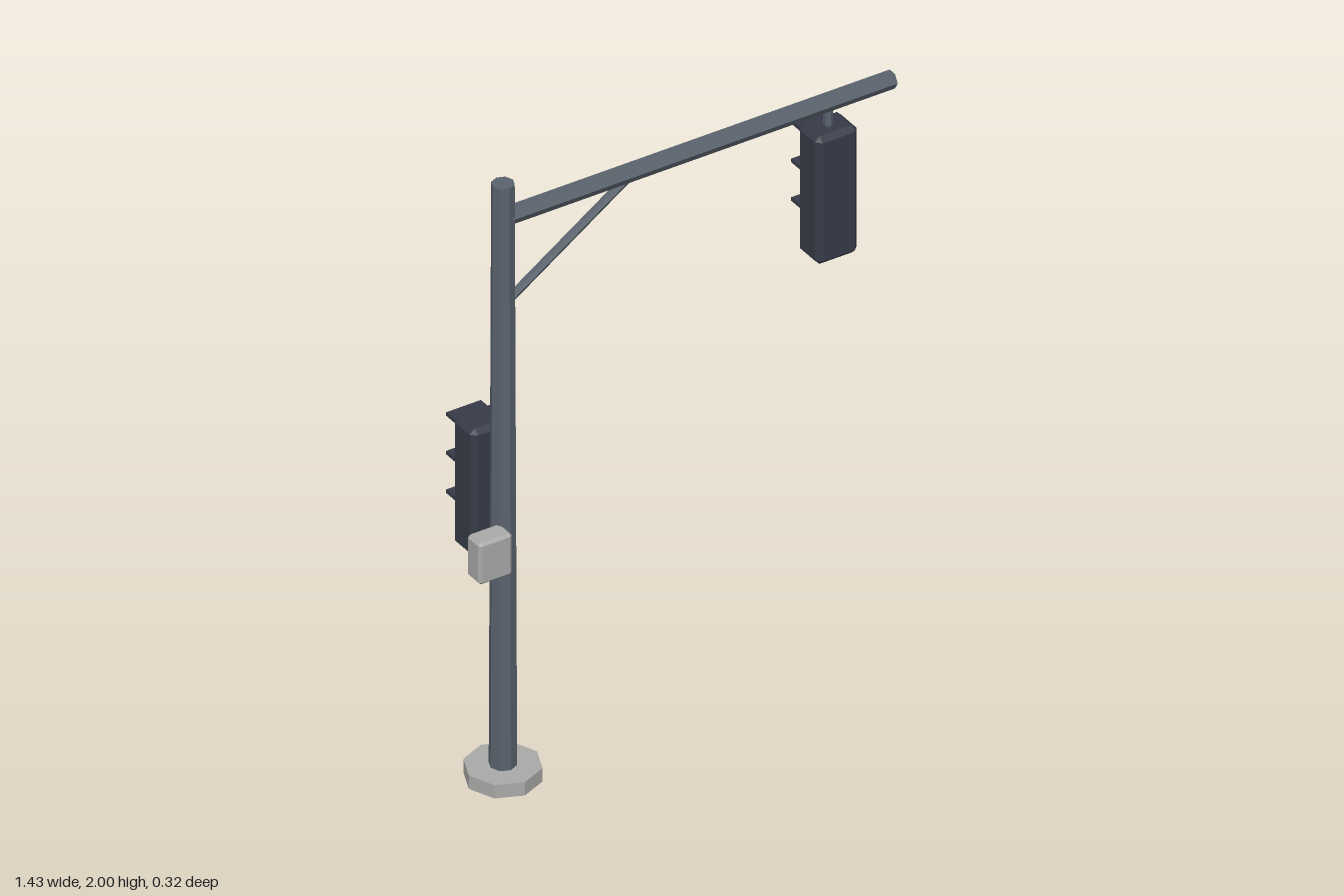
import * as THREE from 'three';
import { ConvexGeometry } from 'three/addons/geometries/ConvexGeometry.js';

const POLE_X = -0.59, POLE_Z = 0.042;

function material(name, color) {
  const m = new THREE.MeshStandardMaterial({ color, flatShading: true });
  m.name = name;
  return m;
}

// Box with every edge and corner chamfered by b
function chamferBox(w, h, d, b) {
  const points = [];
  for (const sx of [-1, 1]) for (const sy of [-1, 1]) for (const sz of [-1, 1]) {
    const x = w / 2, y = h / 2, z = d / 2;
    points.push(
      new THREE.Vector3(sx * x, sy * (y - b), sz * (z - b)),
      new THREE.Vector3(sx * (x - b), sy * y, sz * (z - b)),
      new THREE.Vector3(sx * (x - b), sy * (y - b), sz * z));
  }
  return new ConvexGeometry(points);
}

function add(parent, name, geometry, mat, x = 0, y = 0, z = 0) {
  const mesh = new THREE.Mesh(geometry, mat);
  mesh.name = name;
  mesh.position.set(x, y, z);
  parent.add(mesh);
  return mesh;
}

// Straight six-sided bar between two points
function addBar(parent, name, from, to, radius, mat) {
  const dir = to.clone().sub(from);
  const mid = from.clone().add(to).multiplyScalar(0.5);
  const bar = add(parent, name, new THREE.CylinderGeometry(radius, radius, dir.length(), 6), mat, mid.x, mid.y, mid.z);
  bar.quaternion.setFromUnitVectors(new THREE.Vector3(0, 1, 0), dir.normalize());
  return bar;
}

export function createModel() {
  const model = new THREE.Group();
  model.name = 'trafficLight';

  const steel = material('steel', 0x5a626d);
  const housing = material('housing', 0x353b47);
  const concrete = material('paleGrey', 0xa9a9a8);
  const lensColours = [
    material('red', 0xc43a3a), material('amber', 0xc9972c), material('green', 0x46993c)];

  // Footing and tapered pole
  add(model, 'base', new THREE.CylinderGeometry(0.114, 0.114, 0.045, 8), concrete, POLE_X, 0.0225, POLE_Z);
  add(model, 'pole', new THREE.CylinderGeometry(0.034, 0.041, 1.96, 8), steel, POLE_X, 1.02, POLE_Z);

  // Overhead arm with diagonal brace and hanger
  const at = (x, y) => new THREE.Vector3(x, y, POLE_Z);
  addBar(model, 'arm', at(POLE_X, 1.884), at(0.715, 1.884), 0.028, steel);
  addBar(model, 'brace', at(POLE_X, 1.588), at(-0.15, 1.884), 0.014, steel);
  addBar(model, 'hanger', at(0.5, 1.79), at(0.5, 1.88), 0.014, steel);

  // Signal heads facing the back
  const bodyGeometry = chamferBox(0.14, 0.43, 0.11, 0.016);
  const lensGeometry = new THREE.CylinderGeometry(0.045, 0.045, 0.03, 10).rotateX(-Math.PI / 2);
  const visorGeometry = new THREE.BoxGeometry(0.116, 0.012, 0.06);
  function addSignal(name, x, y, z) {
    const signal = new THREE.Group();
    signal.name = name;
    signal.position.set(x, y, z);
    add(signal, 'signalBody', bodyGeometry, housing);
    lensColours.forEach((mat, i) => {
      const ly = 0.13 * (1 - i);
      add(signal, mat.name + 'Lens', lensGeometry, mat, 0, ly, -0.058);
      add(signal, 'visor', visorGeometry, housing, 0, ly + 0.057, -0.072);
    });
    model.add(signal);
  }
  addSignal('hangingSignal', 0.5, 1.594, POLE_Z);
  addSignal('poleSignal', POLE_X, 0.943, -0.06);

  // Control cabinet on the side of the pole
  add(model, 'controlBox', chamferBox(0.112, 0.14, 0.07, 0.009), concrete, -0.661, 0.798, 0.084);

  return model;
}
